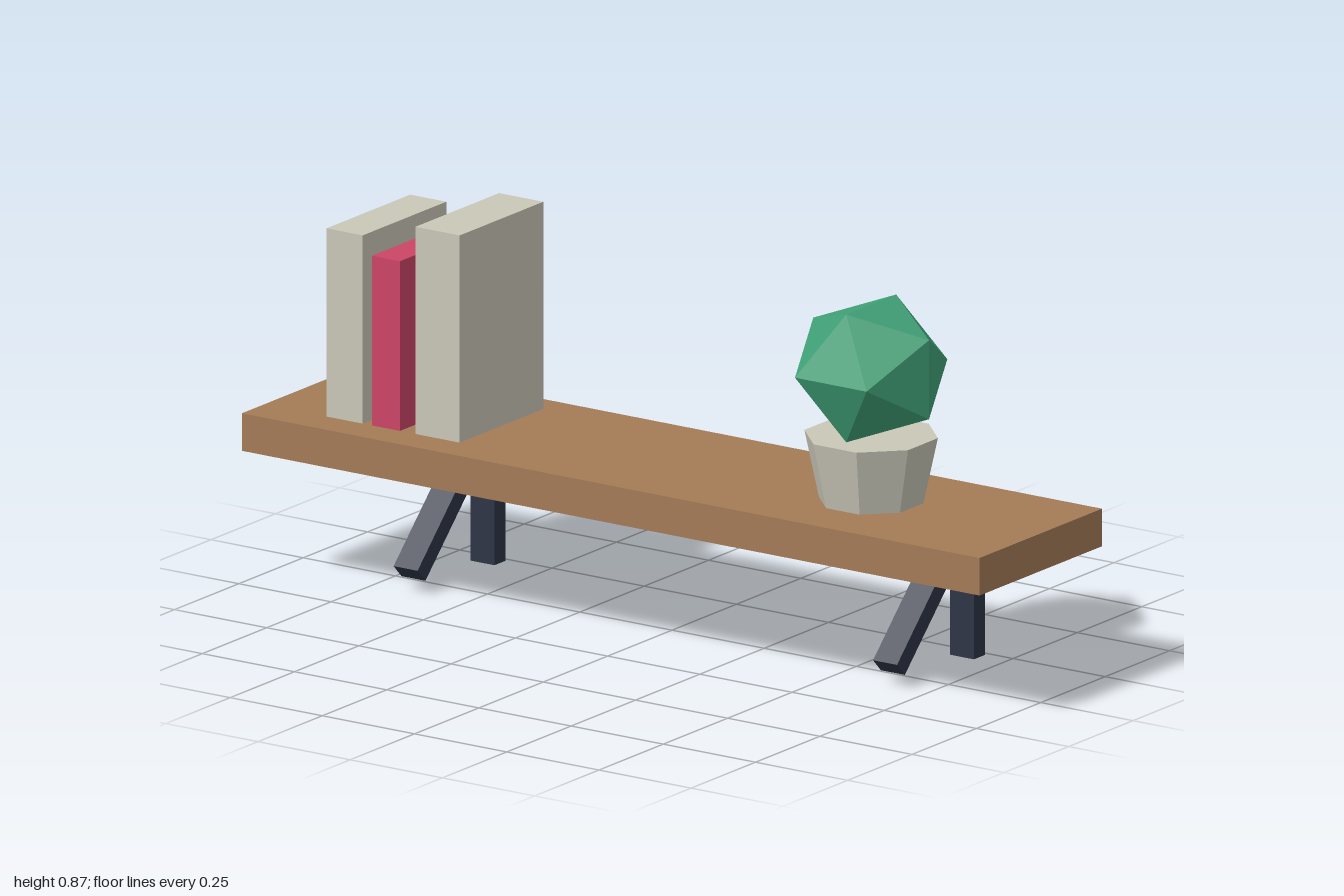
import * as THREE from 'three';

const material = (name, color, flatShading = false) => {
  const m = new THREE.MeshStandardMaterial({ color, flatShading });
  m.name = name;
  return m;
};

export function createModel() {
  const wood = material('wood', 0xa47b56);
  const metal = material('darkMetal', 0x2d3444);
  const stone = material('paleStone', 0xc9c7b8, true);
  const red = material('redCover', 0xcc4566);
  const green = material('leafGreen', 0x40a076, true);

  const model = new THREE.Group();
  model.name = 'shelf';

  const add = (name, geometry, mat, x, y, z, parent = model) => {
    const mesh = new THREE.Mesh(geometry, mat);
    mesh.name = name;
    mesh.position.set(x, y, z);
    parent.add(mesh);
    return mesh;
  };

  // Shelf board
  const bottom = 0.305, top = 0.392;
  add('board', new THREE.BoxGeometry(2, top - bottom, 0.476), wood, 0, (top + bottom) / 2, 0);

  // Brackets: an upright at the back and a diagonal brace reaching forward
  for (const side of [-1, 1]) {
    const bracket = new THREE.Group();
    bracket.name = side > 0 ? 'leftBracket' : 'rightBracket';
    bracket.position.x = side * 0.65;
    model.add(bracket);
    add('upright', new THREE.BoxGeometry(0.065, bottom, 0.043), metal, 0, bottom / 2, -0.2165, bracket);
    const brace = add('brace', new THREE.BoxGeometry(0.065, 0.4, 0.043), metal, 0, 0.185, -0.053, bracket);
    brace.rotation.x = -Math.PI / 4;
  }

  // Books: name, centre x, thickness, top height, cover
  const books = [
    ['outerBook', -0.782, 0.098, 0.828, stone],
    ['middleBook', -0.67, 0.076, 0.785, red],
    ['innerBook', -0.53, 0.12, 0.872, stone],
  ];
  for (const [name, x, width, height, cover] of books) {
    add(name, new THREE.BoxGeometry(width, height - top, 0.325), cover, x, (height + top) / 2, -0.011);
  }

  // Eight-sided pot with flat sides facing front and sides
  const pot = add('pot', new THREE.CylinderGeometry(0.152, 0.119, 0.153, 8), stone, 0.54, top + 0.0765, 0);
  pot.rotation.y = Math.PI / 8;

  // Faceted plant, slightly squashed
  const plant = add('plant', new THREE.IcosahedronGeometry(0.1845, 0), green, 0.54, 0.697, 0);
  plant.rotation.y = Math.PI / 2;
  plant.scale.y = 0.943;

  return model;
}
